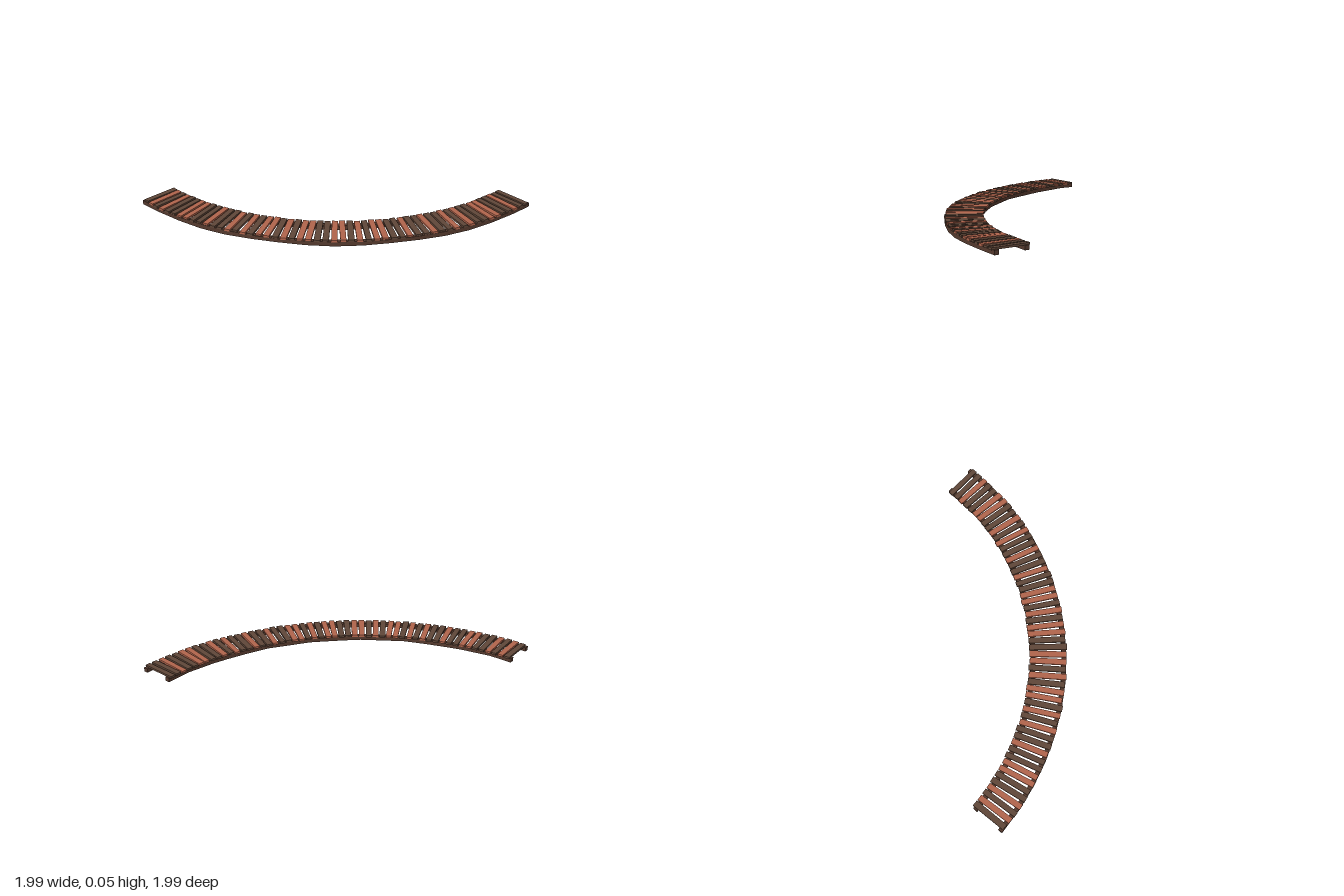
import * as THREE from 'three';

export function createModel() {
  const model = new THREE.Group();
  model.name = 'curvedPlankWalkway';

  const dark = new THREE.MeshStandardMaterial({ color: 0x5f4638, flatShading: true });
  const red = new THREE.MeshStandardMaterial({ color: 0xb0644c, flatShading: true });
  const beam = new THREE.MeshStandardMaterial({ color: 0x553a2e, flatShading: true });

  // The whole walkway is a quarter turn around this corner
  const turn = new THREE.Group();
  turn.name = 'quarterTurn';
  turn.position.set(-1, 0, -1);
  model.add(turn);

  // Repeatable wobble in -1..1
  let seed = 7;
  const wobble = () => {
    seed = (seed * 16807) % 2147483647;
    return (seed / 2147483647) * 2 - 1;
  };

  // Two curved support beams, made of short straight runs
  const addBeam = (name, inner, outer) => {
    const steps = 16;
    const points = [];
    const at = (r, i) => {
      const a = (i / steps) * Math.PI / 2;
      return new THREE.Vector2(r * Math.cos(a), r * Math.sin(a));
    };
    for (let i = 0; i <= steps; i++) points.push(at(outer, i));
    for (let i = steps; i >= 0; i--) points.push(at(inner, i));
    const geometry = new THREE.ExtrudeGeometry(new THREE.Shape(points), { depth: 0.033, bevelEnabled: false });
    geometry.rotateX(Math.PI / 2).translate(0, 0.035, 0);
    // Uneven underside
    const p = geometry.attributes.position;
    for (let i = 0; i < p.count; i++) {
      if (p.getY(i) < 0.01) {
        const a = Math.atan2(p.getZ(i), p.getX(i));
        p.setY(i, 0.004 + 0.004 * Math.sin(a * 14));
      }
    }
    geometry.computeVertexNormals();
    const mesh = new THREE.Mesh(geometry, beam);
    mesh.name = name;
    turn.add(mesh);
  };
  addBeam('innerBeam', 1.73, 1.764);
  addBeam('outerBeam', 1.952, 1.985);

  // Planks laid across the beams, D = dark, R = red
  const colours = 'DRDRDDRRDDRDDRDRDR' + 'RDRDRRDDRRDRDR' + 'RDDRDDRDDRDRDDRRDDRDD';
  const start = 0.019;
  const spacing = (Math.PI / 2 - 2 * start) / (colours.length - 1);
  [...colours].forEach((c, i) => {
    const angle = Math.PI / 2 - start - i * spacing;
    const geometry = new THREE.BoxGeometry(0.268 + 0.006 * wobble(), 0.015, 0.041 + 0.003 * wobble());
    // Taper one end a little
    const p = geometry.attributes.position;
    const taper = 1 + 0.5 * wobble();
    for (let k = 0; k < p.count; k++) {
      p.setZ(k, p.getZ(k) * (1 + 0.4 * (taper - 1) * p.getX(k)));
    }
    const plank = new THREE.Mesh(geometry, c === 'R' ? red : dark);
    plank.name = 'plank';
    const r = 1.85 + 0.004 * wobble();
    plank.position.set(r * Math.cos(angle), 0.04 + 0.001 * wobble(), r * Math.sin(angle));
    plank.rotation.y = -angle + 0.02 * wobble();
    turn.add(plank);
  });

  return model;
}
